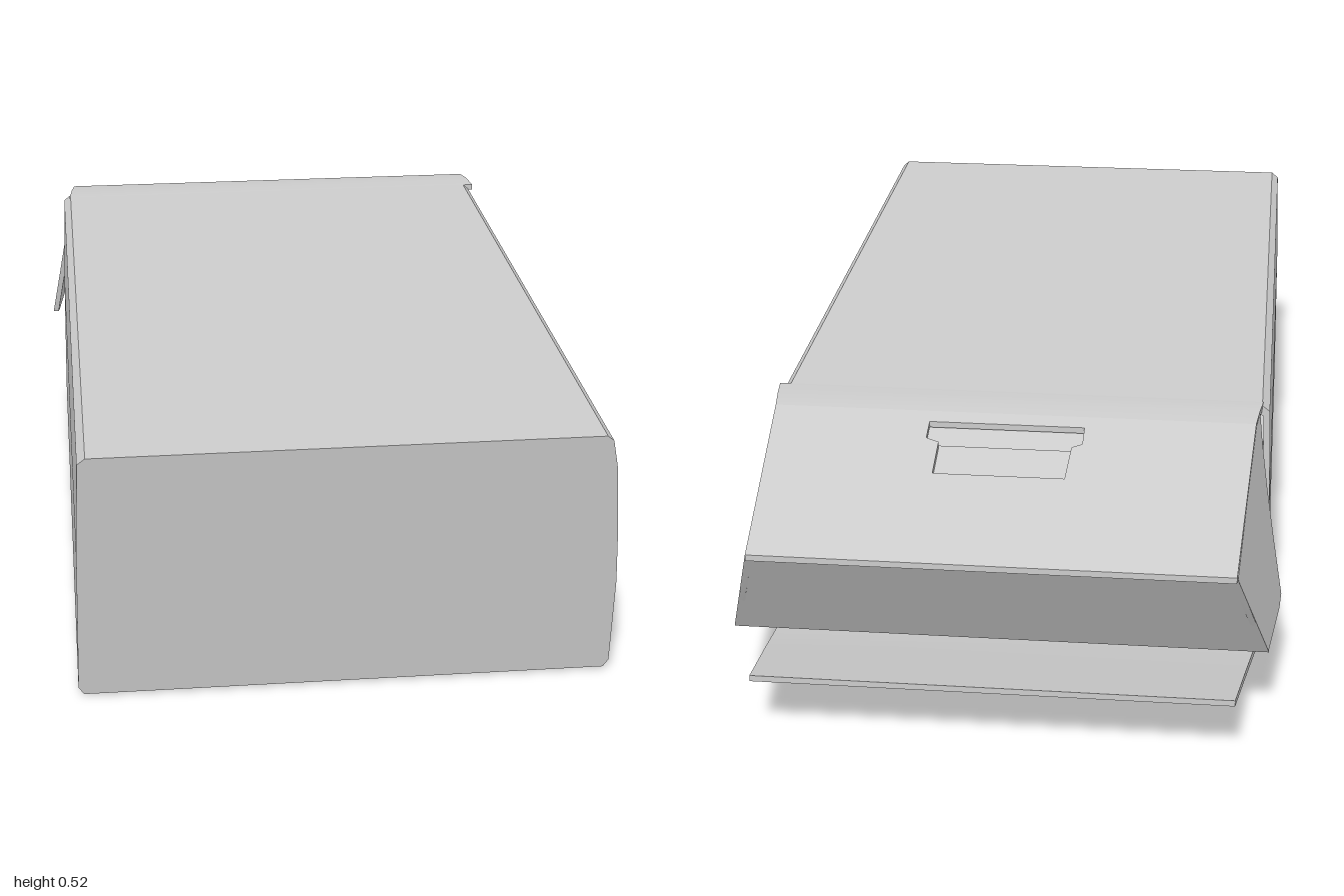
import * as THREE from 'three';
import { toCreasedNormals } from 'three/addons/utils/BufferGeometryUtils.js';

const card = new THREE.MeshStandardMaterial({ color: 0xcccccc, side: THREE.DoubleSide });
card.name = 'grey card';
const T = 0.012; // card thickness

const path = (C, pts) => new C(pts.map(([x, y]) => new THREE.Vector2(x, y)));

// Extrude an outline, then place every vertex by a rule (a, b, depth) -> [x, y, z]
function folded(name, pts, depth, rule, holes = []) {
  const shape = path(THREE.Shape, pts);
  shape.holes = holes.map(h => path(THREE.Path, h));
  let geo = new THREE.ExtrudeGeometry(shape, { depth, bevelEnabled: false });
  const p = geo.attributes.position;
  for (let i = 0; i < p.count; i++) p.setXYZ(i, ...rule(p.getX(i), p.getY(i), p.getZ(i)));
  geo.deleteAttribute('normal');
  geo = toCreasedNormals(geo, 0.5);
  const mesh = new THREE.Mesh(geo, card);
  mesh.name = name;
  return mesh;
}

// Strip with a side profile (-z, y), spanning the width given by half(z, y)
const strip = (name, pts, half) =>
  folded(name, pts, 1, (a, b, c) => [(c * 2 - 1) * half(-a, b), b, -a]);

const rect = (x0, x1, a0, a1) => [[x0, a0], [x1, a0], [x1, a1], [x0, a1]];

export function createModel() {
  const g = new THREE.Group();
  g.name = 'openCarton';

  // Sleeve: hollow cross-section with a slanted closed front
  const outer = [[-0.505, 0.02], [-0.495, 0.004], [0.49, 0.004], [0.5, 0.02], [0.5, 0.2], [0.493, 0.32],
    [0.481, 0.45], [0.47, 0.505], [0.458, 0.515], [-0.478, 0.515], [-0.493, 0.503], [-0.5, 0.3]];
  const inner = outer.map(([x, y]) => [x * 0.976, (y - 0.26) * 0.955 + 0.26]);
  const frontZ = y => 0.93 + 0.07 * y / 0.515;
  const back = -0.518;
  g.add(folded('sleeve', outer, 1, (x, y, s) => [x, y, back + s * (frontZ(y) - T - back)], [inner]));
  g.add(folded('frontPanel', outer, T, (x, y, s) => [x, y, frontZ(y) - T + s]));

  // Lid: hinge, sloping panel with a handle cutout
  const lidY = z => 0.511 + (z + 0.6) * 0.315;
  const lidHalf = z => 0.468 + (z + 0.6) * 0.055;
  g.add(strip('lidHinge', [[0.5, 0.503], [0.55, 0.503], [0.6, 0.499], [0.6, 0.511], [0.55, 0.517], [0.5, 0.515]],
    z => 0.468 + Math.max(0, z + 0.6) * 0.12));
  const onLid = drop => (x, a, c) => [x, lidY(-a) - drop + c, -a];
  const cutout = [[-0.14, 0.63], [0.16, 0.63], [0.16, 0.675], [0.135, 0.685], [0.135, 0.77],
    [-0.115, 0.77], [-0.12, 0.685], [-0.14, 0.675]];
  const w0 = lidHalf(-0.6), w1 = lidHalf(-1);
  g.add(folded('lidPanel', [[-w0, 0.6], [w0, 0.6], [w1, 1], [-w1, 1]], T, onLid(T), [cutout]));

  // Handle tab pressed in, with a deeper slot beside it
  g.add(folded('handleTab', rect(-0.13, 0.15, 0.68, 0.785), 0.008, onLid(0.02)));
  g.add(folded('handleSlot', rect(-0.155, 0.175, 0.615, 0.69), 0.008, onLid(0.026)));

  // Lid lip, tucked forward and widening downwards
  g.add(strip('lidLip', [[1, 0.385], [0.86, 0.16], [0.85, 0.164], [0.985, 0.384]],
    (z, y) => 0.446 + (0.385 - y) * 0.28));

  // Lid side flaps, splaying outwards
  const side = [[0.545, 0.51], [0.575, 0.46], [0.605, 0.38], [0.63, 0.28], [0.65, 0.175], [0.69, 0.165],
    [0.855, 0.16], [0.93, 0.27], [0.995, 0.38], [0.8, 0.446], [0.6, 0.508]];
  for (const s of [1, -1]) {
    const flap = folded(s > 0 ? 'leftLidFlap' : 'rightLidFlap', side, T,
      (a, y, c) => [lidHalf(-a) + 0.2 * Math.max(0, lidY(-a) - y) + c - T, y, -a]);
    flap.scale.x = s;
    g.add(flap);
  }

  // Bottom flap, bent slightly upwards
  g.add(strip('bottomFlap', [[0.5, 0.003], [0.56, 0], [0.6, 0.012], [0.8, 0.068], [1, 0.122], [1, 0.134],
    [0.8, 0.082], [0.58, 0.022], [0.5, 0.015]],
    z => z > -0.57 ? 0.485 + (z + 0.57) * 0.15 : 0.485 + (z + 0.57) * 0.08));
  return g;
}
